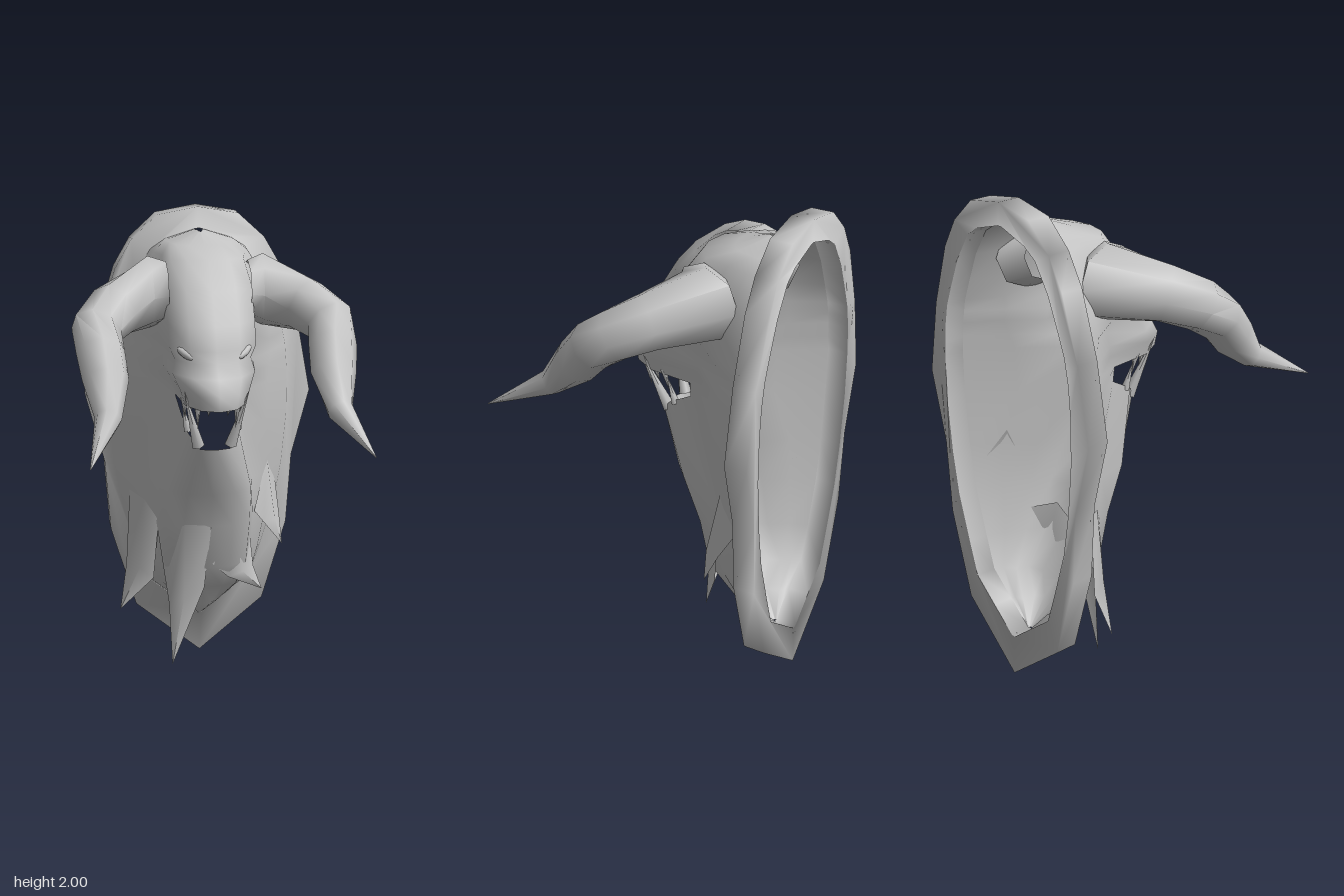
import * as THREE from 'three';
import { toCreasedNormals } from 'three/addons/utils/BufferGeometryUtils.js';

const grey = new THREE.MeshStandardMaterial({ color: 0xc4c4c4, side: THREE.DoubleSide });
grey.name = 'plain grey';

// Head and neck levels: height, half width at plaque, half width at cheek, cheek z, front z
const LEVELS = [
  [1.91, .01, .008, -.42, -.38],
  [1.87, .14, .13, -.38, -.26],
  [1.83, .20, .17, -.30, -.13],
  [1.72, .27, .20, -.25, -.05],
  [1.60, .32, .20, -.22, .04],
  [1.51, .355, .20, -.20, .09],
  [1.46, .365, .175, -.20, .095],
  [1.41, .375, .19, -.20, .14],
  [1.35, .38, .16, -.17, .185],
  [1.29, .385, .14, -.13, .175],
  [1.10, .385, .12, -.12, .05],
  [0.88, .365, .20, -.25, -.035],
  [0.70, .335, .21, -.28, -.15],
  [0.50, .275, .20, -.32, -.19],
  [0.36, .23, .17, -.40, -.32],
  [0.27, .12, .08, -.44, -.35],
  [0.18, .01, .006, -.47, -.46],
];
const PLAQUE_Z = -.47;
const UPPER_LIP = 9;

function addMesh(parent, name, geometry) {
  const mesh = new THREE.Mesh(geometry, grey);
  mesh.name = name;
  parent.add(mesh);
  return mesh;
}

// Skin over rows of points; keep(row, column) may leave openings
function loft(rows, keep = () => true) {
  const n = rows[0].length;
  const index = [];
  for (let r = 0; r < rows.length - 1; r++) {
    for (let c = 0; c < n - 1; c++) {
      if (!keep(r, c)) continue;
      const a = r * n + c, b = a + n;
      index.push(a, a + 1, b, a + 1, b + 1, b);
    }
  }
  const g = new THREE.BufferGeometry();
  g.setAttribute('position', new THREE.Float32BufferAttribute(rows.flat(2), 3));
  g.setIndex(index);
  g.computeVertexNormals();
  return g;
}

// Section from the left plaque edge round the face to the right one
function headRow([y, back, cheek, cheekZ, frontZ], r) {
  const lift = r === UPPER_LIP + 1 ? .12 : 0; // lower lip rises to the mouth corner
  const depth = frontZ - cheekZ;
  const left = [
    [back, y, PLAQUE_Z],
    [(back + cheek) / 2 + .01, y, (PLAQUE_Z + cheekZ) / 2],
    [cheek, y + lift, cheekZ],
    [cheek * .87, y + lift * .5, cheekZ + depth * .6],
    [cheek * .5, y, cheekZ + depth * .9],
  ];
  const right = left.slice().reverse().map(([x, py, z]) => [-x, py, z]);
  return [...left, [0, y, frontZ], ...right];
}

// Closed outline from its +x half
function outline(half) {
  const all = half.concat(half.slice().reverse().map(([x, y]) => [-x, y]));
  return all.map(([x, y]) => new THREE.Vector2(x, y));
}

// Tapered tube with a round section through [x, y, z, radius] stations
function hornGeometry(side) {
  const path = [
    [.165, 1.70, -.20, .12], [.235, 1.69, -.245, .147], [.385, 1.65, -.095, .112],
    [.463, 1.60, .01, .10], [.455, 1.53, .11, .095], [.443, 1.44, .19, .09],
    [.445, 1.32, .31, .052], [.53, 1.20, .55, .002],
  ];
  const pts = path.map(p => new THREE.Vector3(p[0] * side, p[1], p[2]));
  const rows = pts.map((p, i) => {
    const t = pts[Math.min(i + 1, pts.length - 1)].clone().sub(pts[Math.max(i - 1, 0)]);
    if (i < 2) t.set(side, 0, i * .1);
    t.normalize();
    const u = new THREE.Vector3(0, 1, 0).addScaledVector(t, -t.y).normalize();
    const v = new THREE.Vector3().crossVectors(t, u);
    return Array.from({ length: 9 }, (_, k) => {
      const a = k / 8 * Math.PI * 2;
      return p.clone().addScaledVector(u, Math.cos(a) * path[i][3])
        .addScaledVector(v, Math.sin(a) * path[i][3]).toArray();
    });
  });
  return toCreasedNormals(loft(rows), 1.1);
}

// Pointed cone running from a base point to a tip
function spike(parent, name, base, tip, radius) {
  const a = new THREE.Vector3(...base), b = new THREE.Vector3(...tip);
  const d = b.clone().sub(a);
  const m = addMesh(parent, name, new THREE.ConeGeometry(radius, d.length(), 5));
  m.position.copy(a).add(b).multiplyScalar(.5);
  m.quaternion.setFromUnitVectors(new THREE.Vector3(0, 1, 0), d.normalize());
}

// Ragged fold of hide: three strands narrowing through a middle section to a tip
function tatter(parent, top, middle, tip) {
  addMesh(parent, 'hangingHide', loft([top, middle, [tip, tip, tip]]));
}

export function createModel() {
  const model = new THREE.Group();
  model.name = 'mountedHornedHead';

  // Open wall plaque frame with softly shaded edges
  const shape = new THREE.Shape(outline([[0, 2], [.17, 1.97], [.28, 1.87], [.35, 1.75],
    [.43, 1.5], [.485, 1.2], [.41, .91], [.39, .6], [.285, .24], [0, 0]]));
  shape.holes.push(new THREE.Path(outline(LEVELS.map(([y, back]) => [back, y]))));
  const frame = new THREE.ExtrudeGeometry(shape, { depth: .09, bevelEnabled: false });
  addMesh(model, 'plaqueFrame', toCreasedNormals(frame, 1.7)).position.z = -.555;

  // Hollow head and neck with an open mouth
  const keep = (r, c) => r !== UPPER_LIP || c < 2 || c > 7;
  addMesh(model, 'headAndNeck', loft(LEVELS.map(headRow), keep));

  for (const s of [1, -1]) {
    const label = s > 0 ? 'left' : 'right';
    addMesh(model, label + 'Horn', hornGeometry(s));

    // Slanted brow
    const brow = addMesh(model, label + 'Brow', new THREE.SphereGeometry(1, 8, 6));
    brow.scale.set(.05, .018, .02);
    brow.position.set(s * .115, 1.495, .03);
    brow.rotation.set(0, s * .8, s * .4);

    // Upper teeth, then lower tusk and tooth
    for (const [x, z, length] of [[.04, .14, .05], [.08, .10, .11], [.105, .05, .07], [.12, 0, .09]]) {
      spike(model, 'upperTooth', [s * x, 1.31, z], [s * x * .95, 1.31 - length, z - .02], .016);
    }
    spike(model, 'lowerTusk', [s * .065, 1.11, .01], [s * .13, 1.36, .09], .026);
    spike(model, 'lowerTooth', [s * .10, 1.16, -.04], [s * .125, 1.28, -.02], .018);
  }

  // Torn hide hanging below the neck
  tatter(model,
    [[-.21, .70, -.27], [-.10, .74, -.15], [.01, .70, -.145]],
    [[-.16, .32, -.25], [-.10, .36, -.205], [-.01, .40, -.22]], [-.15, .04, -.23]);
  tatter(model,
    [[-.31, .80, -.40], [-.255, .78, -.32], [-.20, .70, -.265]],
    [[-.33, .46, -.40], [-.28, .47, -.31], [-.22, .42, -.31]], [-.365, .27, -.34]);
  tatter(model,
    [[.02, .52, -.185], [.13, .62, -.21], [.20, .60, -.29]],
    [[.10, .43, -.25], [.16, .46, -.23], [.215, .46, -.29]], [.25, .36, -.27]);
  tatter(model,
    [[.215, .72, -.275], [.28, .94, -.345], [.335, .80, -.44]],
    [[.26, .66, -.29], [.31, .67, -.30], [.34, .68, -.37]], [.345, .55, -.31]);
  return model;
}
